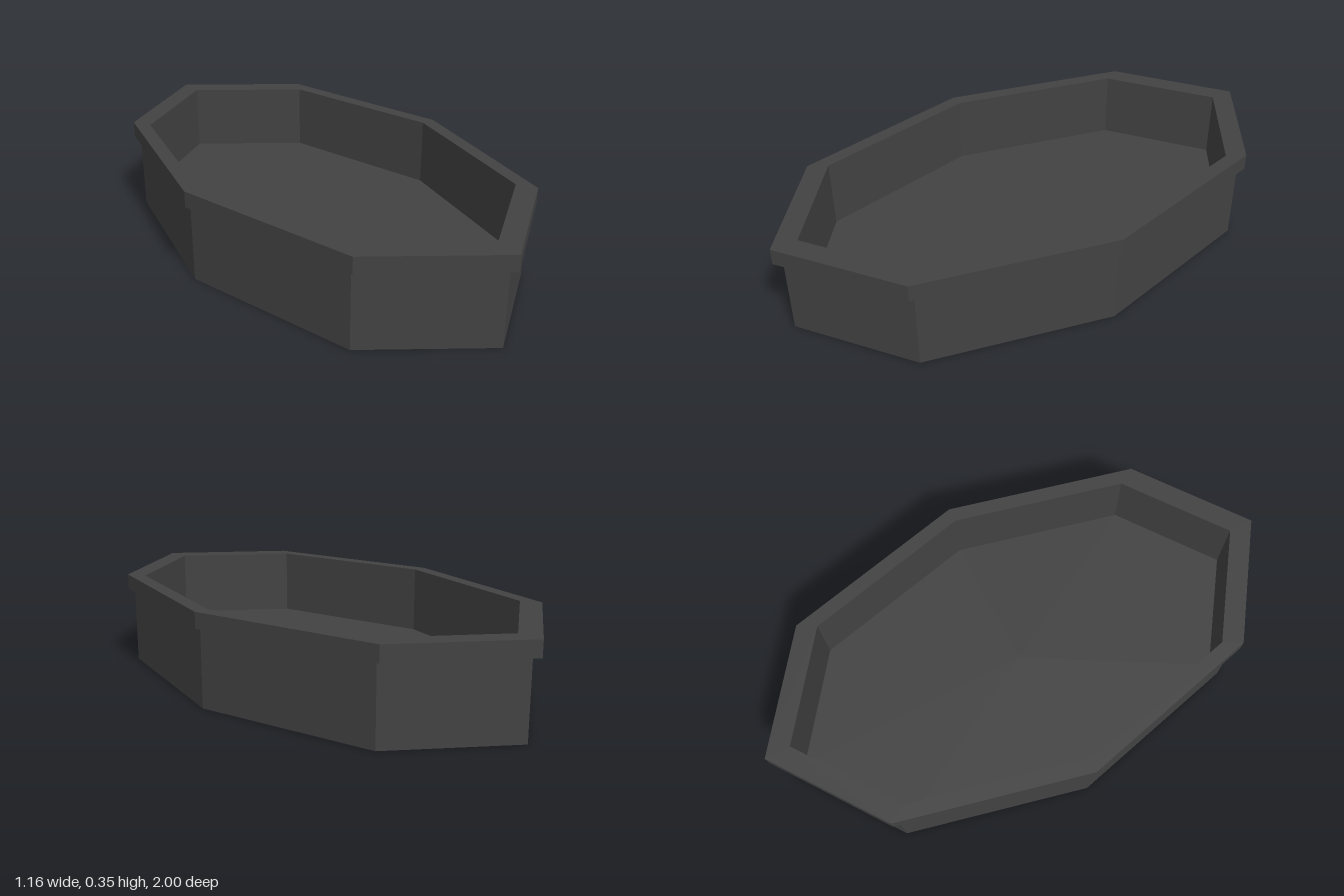
import * as THREE from 'three';

const WIDTH = 0.578; // half width relative to half length of 1

// Eight-sided stretched ring turned from a profile of [radius, height] points
function octagonPart(name, profile, material) {
  const points = profile.map(([r, y]) => new THREE.Vector2(r, y));
  const geometry = new THREE.LatheGeometry(points, 8).toNonIndexed();
  geometry.scale(WIDTH, 1, 1);
  geometry.computeVertexNormals();
  const mesh = new THREE.Mesh(geometry, material);
  mesh.name = name;
  return mesh;
}

export function createModel() {
  const model = new THREE.Group();
  model.name = 'octagonalTray';

  const charcoal = new THREE.MeshStandardMaterial({ color: 0x424242, flatShading: true });
  charcoal.name = 'charcoal';

  // Basin: underside, outer wall, top edge, inner wall and raised floor
  model.add(octagonPart('basin', [
    [0, 0], [0.965, 0], [0.965, 0.29], [0.905, 0.29], [0.905, 0.095], [0, 0.095],
  ], charcoal));

  // Rim: overhanging lip flush with the inner wall
  model.add(octagonPart('rim', [
    [0.905, 0.29], [1, 0.29], [1, 0.35], [0.905, 0.35], [0.905, 0.29],
  ], charcoal));

  return model;
}
